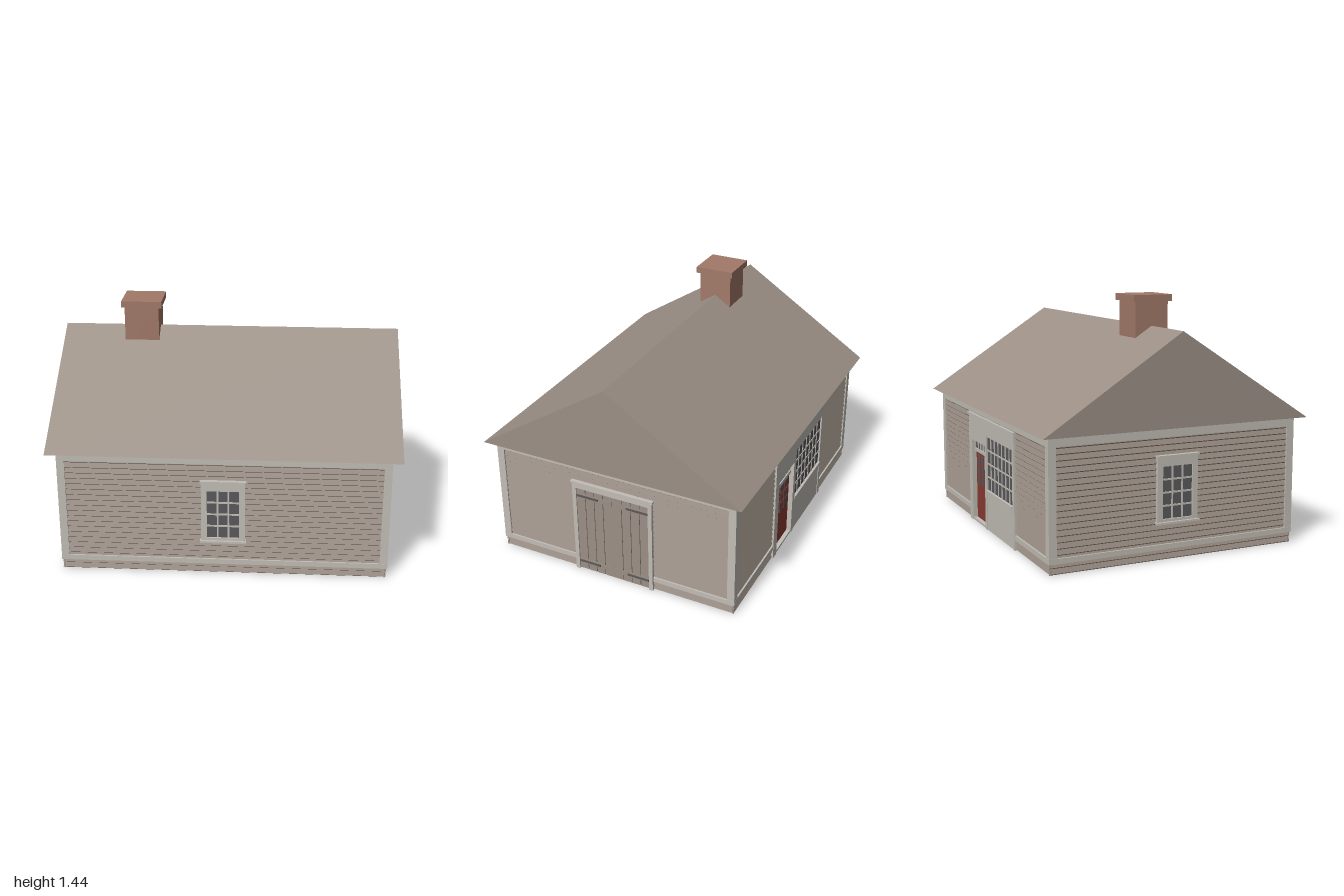
import * as THREE from 'three';

const mat = (name, color, side = THREE.FrontSide) => {
  const m = new THREE.MeshStandardMaterial({ color, side });
  m.name = name;
  return m;
};

export function createModel() {
  const siding = mat('weathered siding', 0x9c9086, THREE.DoubleSide);
  const roofing = mat('roof shingle', 0x9c9086);
  const trim = mat('pale trim', 0xc2beb6);
  const glass = mat('dark glass', 0x5a5a5d);
  const iron = mat('iron', 0x5c5a58);
  const brick = mat('brick', 0xa27a69);
  const red = mat('red door paint', 0x8a3a32);

  const EAVE = 0.745, HX = 0.945, HZ = 0.76;
  const house = new THREE.Group();
  house.name = 'house';

  const add = (parent, name, geo, m) => {
    const mesh = new THREE.Mesh(geo, m);
    mesh.name = name;
    parent.add(mesh);
    return mesh;
  };
  // Box given by its limits on each axis
  const box = (parent, name, m, x0, x1, y0, y1, z0, z1) => {
    const mesh = add(parent, name, new THREE.BoxGeometry(x1 - x0, y1 - y0, z1 - z0), m);
    mesh.position.set((x0 + x1) / 2, (y0 + y1) / 2, (z0 + z1) / 2);
    return mesh;
  };
  // Group whose local +z points out of one side of the house
  const side = (name, angle) => {
    const g = new THREE.Group();
    g.name = name;
    g.rotation.y = angle;
    house.add(g);
    return g;
  };

  // Overlapping boards: a sawtooth profile run along the wall
  const clapboards = (parent, x0, x1, d, y0 = 0) => {
    const n = 22, p = EAVE / n, s = new THREE.Shape();
    const first = Math.round(y0 / p);
    s.moveTo(d - 0.015, first * p);
    for (let i = first; i < n; i++) {
      s.lineTo(d - 0.013, i * p);
      s.lineTo(d - 0.004, i * p + 0.007);
    }
    s.lineTo(d - 0.013, EAVE);
    s.lineTo(d - 0.015, EAVE);
    const geo = new THREE.ExtrudeGeometry(s, { depth: x1 - x0, bevelEnabled: false });
    geo.rotateY(-Math.PI / 2);
    geo.translate(x1, 0, 0);
    add(parent, 'clapboards', geo, siding);
  };

  // Corner boards, top frieze and water table; gaps is a list of [start, end] runs
  const wallTrim = (g, half, d, lowRuns) => {
    const b = d - 0.015;
    for (const s of [-1, 1]) {
      const x = s * (half - 0.0225);
      box(g, 'cornerBoard', trim, x - 0.0225, x + 0.0225, 0.06, EAVE, b, d);
    }
    box(g, 'frieze', trim, -half + 0.045, half - 0.045, 0.69, EAVE, b, d);
    for (const [a, c] of lowRuns) box(g, 'waterTable', trim, a, c, 0.06, 0.09, b, d + 0.001);
  };

  // Glass with a grid of bars in front
  const glazing = (g, x0, x1, y0, y1, z, cols, rows, barMat, w = 0.01) => {
    box(g, 'glass', glass, x0, x1, y0, y1, z - 0.004, z);
    for (let i = 1; i < cols; i++) {
      const x = x0 + (x1 - x0) * i / cols;
      box(g, 'glazingBar', barMat, x - w / 2, x + w / 2, y0, y1, z, z + 0.004);
    }
    for (let j = 1; j < rows; j++) {
      const y = y0 + (y1 - y0) * j / rows;
      box(g, 'glazingBar', barMat, x0, x1, y - w / 2, y + w / 2, z, z + 0.004);
    }
  };

  const sashWindow = (parent, d) => {
    const g = new THREE.Group();
    g.name = 'sashWindow';
    parent.add(g);
    const b = d - 0.012, f = d + 0.012;
    box(g, 'jamb', trim, -0.125, -0.092, 0.22, 0.585, b, f);
    box(g, 'jamb', trim, 0.092, 0.125, 0.22, 0.585, b, f);
    box(g, 'head', trim, -0.092, 0.092, 0.53, 0.585, b, f);
    box(g, 'bottomRail', trim, -0.092, 0.092, 0.22, 0.235, b, f);
    box(g, 'cap', trim, -0.132, 0.132, 0.582, 0.592, b, f + 0.006);
    box(g, 'sill', trim, -0.132, 0.132, 0.208, 0.22, b, f + 0.015);
    glazing(g, -0.092, 0.092, 0.235, 0.53, d + 0.002, 3, 4, trim);
  };

  // Front and left walls, each with one window
  for (const [name, angle, half, d] of [['frontWall', 0, HX, HZ], ['leftGableWall', -Math.PI / 2, HZ, HX]]) {
    const g = side(name, angle);
    clapboards(g, -half + 0.006, half - 0.006, d);
    wallTrim(g, half, d, [[-half, half]]);
    sashWindow(g, d);
  }

  // Gable wall with the plank double door
  const gable = side('doorGableWall', Math.PI / 2);
  clapboards(gable, -HZ + 0.006, HZ - 0.006, HX);
  wallTrim(gable, HZ, HX, [[-HZ, -0.255], [0.255, HZ]]);
  box(gable, 'doorHead', trim, -0.255, 0.255, 0.57, 0.605, HX - 0.012, HX + 0.01);
  box(gable, 'doorCap', trim, -0.262, 0.262, 0.604, 0.614, HX - 0.012, HX + 0.016);
  box(gable, 'doorBacking', iron, -0.23, 0.23, 0.005, 0.57, HX - 0.012, HX - 0.003);
  const seams = [0.002, 0.06, 0.117, 0.174, 0.23];
  for (const s of [-1, 1]) {
    const mirrored = (name, m, a, c, y0, y1, z0, z1) =>
      box(gable, name, m, Math.min(s * a, s * c), Math.max(s * a, s * c), y0, y1, z0, z1);
    mirrored('doorJamb', trim, 0.23, 0.255, 0, 0.57, HX - 0.012, HX + 0.01);
    for (let i = 0; i < 4; i++)
      mirrored('doorPlank', siding, seams[i] + (i ? 0.002 : -0.002), seams[i + 1] - (i < 3 ? 0.002 : 0), 0.005, 0.57, HX - 0.004, HX + 0.002);
    for (const y of [0.06, 0.52]) {
      mirrored('doorBatten', siding, 0.004, 0.228, y - 0.015, y + 0.015, HX, HX + 0.004);
      mirrored('strapHinge', iron, 0.09, 0.228, y - 0.006, y + 0.006, HX, HX + 0.009);
    }
  }

  // Back wall with the shop front (local x runs opposite to the house)
  const back = side('backWall', Math.PI);
  const L = -0.37, R = 0.435, B = HZ - 0.015, F = HZ + 0.004;
  clapboards(back, -HX + 0.006, L, HZ);
  clapboards(back, R, HX - 0.006, HZ);
  clapboards(back, L, R, HZ, 0.68);
  wallTrim(back, HX, HZ, [[-HX, L], [R, HX]]);
  const shop = new THREE.Group();
  shop.name = 'shopFront';
  back.add(shop);
  box(shop, 'fascia', trim, L, R, 0.59, 0.68, B, F);
  box(shop, 'cornice', trim, L - 0.008, R + 0.008, 0.672, 0.684, B, F + 0.008);
  box(shop, 'pilaster', trim, L, -0.315, 0, 0.59, B - 0.03, F);
  box(shop, 'doorPost', trim, -0.075, -0.042, 0, 0.59, B - 0.03, F);
  box(shop, 'endPost', trim, 0.405, R, 0, 0.59, B, F);
  box(shop, 'doorLintel', trim, -0.315, -0.075, 0.515, 0.59, B - 0.03, F);
  box(shop, 'transomRail', trim, -0.315, -0.075, 0.44, 0.46, B - 0.03, B);
  glazing(shop, -0.315, -0.075, 0.46, 0.515, B - 0.008, 5, 1, trim);
  box(shop, 'doorStep', trim, -0.315, -0.075, 0, 0.015, B - 0.05, HZ);
  box(shop, 'shopDoor', red, -0.315, -0.075, 0.015, 0.44, B - 0.03, B - 0.01);
  glazing(shop, -0.285, -0.105, 0.235, 0.42, B - 0.007, 3, 3, red, 0.007);
  box(shop, 'stallPanel', trim, -0.042, 0.405, 0, 0.235, B, F - 0.004);
  box(shop, 'windowSill', trim, -0.042, 0.41, 0.235, 0.25, B, F + 0.006);
  box(shop, 'windowHead', trim, -0.042, 0.405, 0.575, 0.59, B, F - 0.004);
  glazing(shop, -0.042, 0.405, 0.25, 0.575, HZ - 0.006, 7, 4, trim, 0.009);

  // Solid gabled roof over the open-bottomed shell
  const tri = new THREE.Shape();
  tri.moveTo(-0.81, EAVE);
  tri.lineTo(0.81, EAVE);
  tri.lineTo(0, 1.268);
  tri.closePath();
  const roofGeo = new THREE.ExtrudeGeometry(tri, { depth: 2, bevelEnabled: false });
  roofGeo.translate(0, 0, -1);
  roofGeo.rotateY(Math.PI / 2);
  add(house, 'roof', roofGeo, roofing);

  // Chimney
  box(house, 'chimneyStack', brick, -0.63, -0.427, 1.15, 1.405, -0.102, 0.102);
  box(house, 'chimneyCap', brick, -0.647, -0.407, 1.405, 1.443, -0.12, 0.12);

  return house;
}
